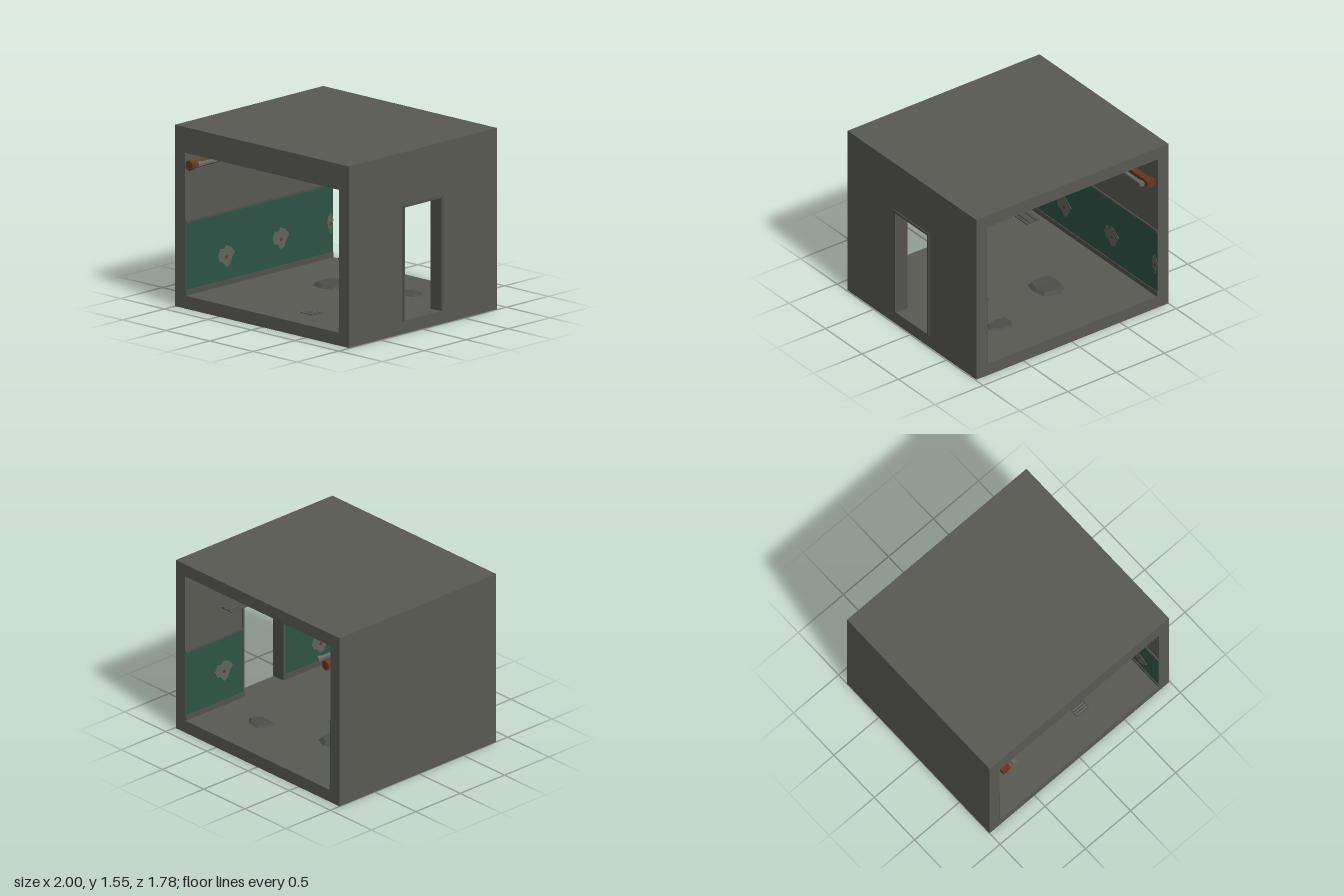
import * as THREE from 'three';

const mat = (name, color) => {
  const m = new THREE.MeshStandardMaterial({ color });
  m.name = name;
  return m;
};

export function createModel() {
  const concrete = mat('concrete', 0x5a5a54);
  const trim = mat('trim grey', 0x52524d);
  const green = mat('green paint', 0x2f5446);
  const plaster = mat('bare plaster', 0x64645e);
  const rust = mat('rust', 0x6a3820);
  const steel = mat('steel', 0x686a67);
  const lamp = mat('lamp panel', 0xb4c2bc);
  const dark = mat('dark rubble', 0x4e4e49);

  const room = new THREE.Group();
  room.name = 'room';
  const add = (name, geo, material) => {
    const m = new THREE.Mesh(geo, material);
    m.name = name;
    room.add(m);
    return m;
  };
  // Box given by its limits on each axis
  const box = (name, material, x0, x1, y0, y1, z0, z1) => {
    const m = add(name, new THREE.BoxGeometry(x1 - x0, y1 - y0, z1 - z0), material);
    m.position.set((x0 + x1) / 2, (y0 + y1) / 2, (z0 + z1) / 2);
    return m;
  };

  const L = -1, R = 0.99, B = -0.895, F = 0.87; // outer shell
  const il = -0.89, ir = 0.88, fl = 0.11, ce = 1.44; // inner faces
  const dB = -0.25, dF = 0.23, dT = 1.1; // doorway

  // Shell: floor, roof, walls and front beam
  box('floor', concrete, L, R, 0, fl, B, F);
  box('roof', concrete, L, R, ce, 1.55, B, F);
  box('leftWall', concrete, L, il, fl, ce, B, F);
  box('rightWallBack', concrete, ir, R, fl, ce, B, dB);
  box('rightWallFront', concrete, ir, R, fl, ce, dF, F);
  box('rightWallOverDoor', concrete, ir, R, dT, ce, dB, dF);
  box('frontBeam', concrete, il, ir, 1.33, ce, 0.76, F);

  // Door frame
  box('doorFrameBack', trim, 0.872, 1, fl, dT, dB, dB + 0.022);
  box('doorFrameFront', trim, 0.872, 1, fl, dT, dF - 0.022, dF);
  box('doorFrameTop', trim, 0.872, 1, dT - 0.022, dT, dB + 0.022, dF - 0.022);

  // Painted lower walls with rail and skirting
  const dado = (side, z0, z1) => {
    const span = (d) => (side < 0 ? [il, il + d] : [ir - d, ir]);
    box('greenPanel', green, ...span(0.004), 0.155, 0.73, z0, z1);
    box('dadoRail', trim, ...span(0.012), 0.73, 0.75, z0, z1);
    box('skirting', trim, ...span(0.011), fl, 0.155, z0, z1);
  };
  dado(-1, B, F);
  dado(1, B, dB);
  dado(1, dF, F);

  // Peeled paint patches with a small brick spot
  const outline = [[-0.1, 0.01], [-0.07, 0.07], [-0.03, 0.06], [0.0, 0.09], [0.05, 0.07],
    [0.1, 0.02], [0.07, -0.02], [0.04, -0.08], [0.0, -0.1], [-0.04, -0.05], [-0.08, -0.04]];
  const patch = (side, y, z, w = 1) => {
    const shape = new THREE.Shape(outline.map(([a, b]) => new THREE.Vector2(a * w, b)));
    const geo = new THREE.ExtrudeGeometry(shape, { depth: 0.003, bevelEnabled: false });
    geo.rotateY(side < 0 ? Math.PI / 2 : -Math.PI / 2);
    const x = side < 0 ? il + 0.004 : ir - 0.004;
    add('peeledPatch', geo, plaster).position.set(x, y, z);
    const spot = add('brickSpot', new THREE.CircleGeometry(0.016, 7), rust);
    spot.rotation.y = side < 0 ? Math.PI / 2 : -Math.PI / 2;
    spot.position.set(x - side * 0.0045, y - 0.01, z);
  };
  patch(-1, 0.36, 0.38);
  patch(-1, 0.39, -0.27);
  patch(-1, 0.41, -0.86, 0.35);
  patch(1, 0.32, 0.63);
  patch(1, 0.43, -0.46);

  // Hexagonal pipes with couplings along the left wall
  const hex = (name, material, r, len, x, y, z) => {
    const geo = new THREE.CylinderGeometry(r, r, len, 6).toNonIndexed();
    geo.computeVertexNormals();
    geo.rotateX(Math.PI / 2);
    add(name, geo, material).position.set(x, y, z);
  };
  for (const [name, material, r, x, y] of [
    ['rustyPipe', rust, 0.034, -0.825, 1.235], ['steelPipe', steel, 0.019, -0.73, 1.258]]) {
    hex(name, material, r, 1.75, x, y, 0);
    for (const z of [-0.875, -0.29, 0.29, 0.87]) {
      hex(name + 'Coupling', material, r * 1.35, 0.04, x, y, z);
    }
  }

  // Ceiling lamp on rods
  box('lampHousing', steel, -0.28, 0.27, 1.295, 1.345, -0.27, -0.15);
  box('lampPanel', lamp, -0.26, 0.25, 1.287, 1.295, -0.255, -0.165);
  for (const x of [-0.2, 0.19]) box('lampRod', steel, x - 0.005, x + 0.005, 1.345, ce, -0.215, -0.205);

  // Cable tray with cables and hangers
  box('cableTray', trim, 0.325, 0.457, 1.297, 1.306, -0.88, 0.75);
  for (const x of [0.36, 0.425]) hex('cable', trim, 0.008, 1.63, x, 1.312, -0.065);
  for (const z of [-0.7, -0.23, 0.23, 0.65]) {
    box('trayHanger', steel, 0.388, 0.396, 1.306, ce, z - 0.004, z + 0.004);
  }

  // Small lamp above the door
  box('doorLampPlate', steel, 0.87, ir, 1.165, 1.23, -0.06, 0.04);
  box('doorLampHood', rust, 0.83, 0.87, 1.165, 1.19, -0.05, 0.03);

  // Floor debris: low uneven slabs, rim raised into a smaller top
  const slab = (name, x, z, rx, rz, h, radii) => {
    const n = radii.length;
    const geo = new THREE.CylinderGeometry(0.82, 1, h, n).toNonIndexed();
    const p = geo.attributes.position;
    for (let i = 0; i < p.count; i++) {
      const a = Math.atan2(p.getZ(i), p.getX(i));
      const k = ((Math.round((a / (2 * Math.PI)) * n + 0.5) % n) + n) % n;
      p.setXYZ(i, p.getX(i) * radii[k] * rx,
        p.getY(i) > 0 ? h * (0.7 + 0.3 * radii[k]) : 0, p.getZ(i) * radii[k] * rz);
    }
    geo.computeVertexNormals();
    add(name, geo, dark).position.set(x, fl, z);
  };
  slab('brokenSlab', -0.25, -0.22, 0.16, 0.16, 0.03, [1, 0.85, 1, 0.9, 1, 0.8, 0.95, 1]);
  slab('rubble', 0.42, -0.46, 0.13, 0.1, 0.015, [1, 0.9, 0.8, 1, 0.85, 1, 0.95]);

  // Floor drain with slats
  box('drain', dark, 0.19, 0.33, fl, fl + 0.005, 0.5, 0.62);
  for (let i = 0; i < 5; i++) {
    const z = 0.512 + i * 0.024;
    box('drainSlat', steel, 0.2, 0.32, fl + 0.005, fl + 0.01, z - 0.005, z + 0.005);
  }
  return room;
}
